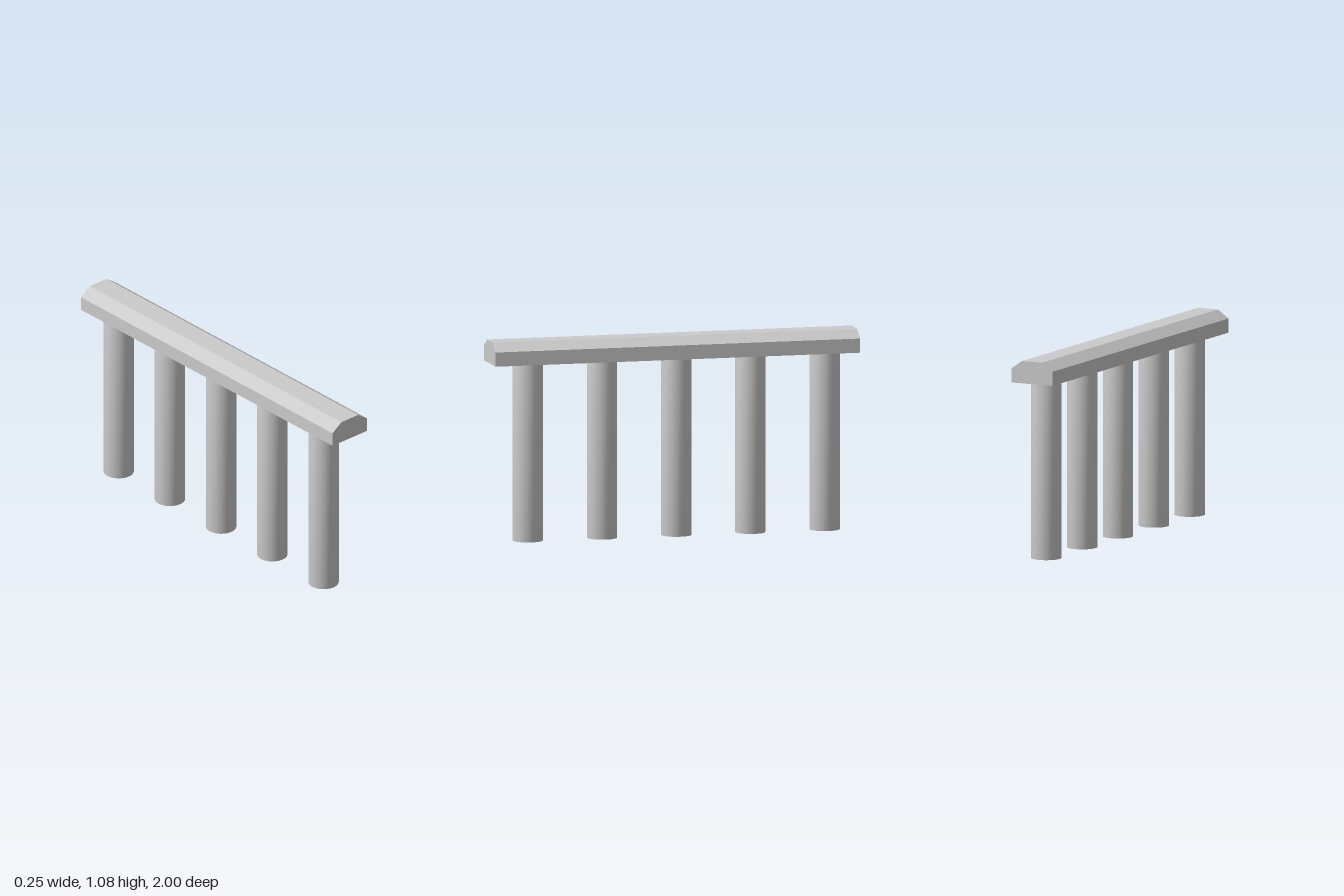
import * as THREE from 'three';
import { mergeVertices } from 'three/addons/utils/BufferGeometryUtils.js';

const POST_HEIGHT = 0.957, POST_RADIUS = 0.081;
const POST_COUNT = 5, FIRST_POST_Z = 0.791, POST_SPACING = 0.407;

// Round post whose caps and side share softened normals
function postGeometry() {
  const geo = new THREE.CylinderGeometry(POST_RADIUS, POST_RADIUS, POST_HEIGHT, 32);
  geo.translate(0, POST_HEIGHT / 2, 0);
  geo.deleteAttribute('normal');
  geo.deleteAttribute('uv');
  const welded = mergeVertices(geo, 1e-4);
  welded.computeVertexNormals();
  return welded;
}

// Chamfered rail profile extruded along z
function railGeometry() {
  const profile = new THREE.Shape([
    [-0.123, 0.957], [0.123, 0.957], [0.123, 1.033],
    [0.06, 1.077], [-0.06, 1.077], [-0.123, 1.033],
  ].map(([x, y]) => new THREE.Vector2(x, y)));
  const geo = new THREE.ExtrudeGeometry(profile, { depth: 2, bevelEnabled: false });
  return geo.translate(0, 0, -1);
}

export function createModel() {
  const model = new THREE.Group();
  model.name = 'railing';
  const material = new THREE.MeshStandardMaterial({ color: 0xcccccc });

  const rail = new THREE.Mesh(railGeometry(), material);
  rail.name = 'topRail';
  model.add(rail);

  // Evenly spaced row of posts, set slightly towards the back
  const geo = postGeometry();
  for (let i = 0; i < POST_COUNT; i++) {
    const post = new THREE.Mesh(geo, material);
    post.name = `post${i + 1}`;
    post.position.z = FIRST_POST_Z - i * POST_SPACING;
    model.add(post);
  }
  return model;
}
